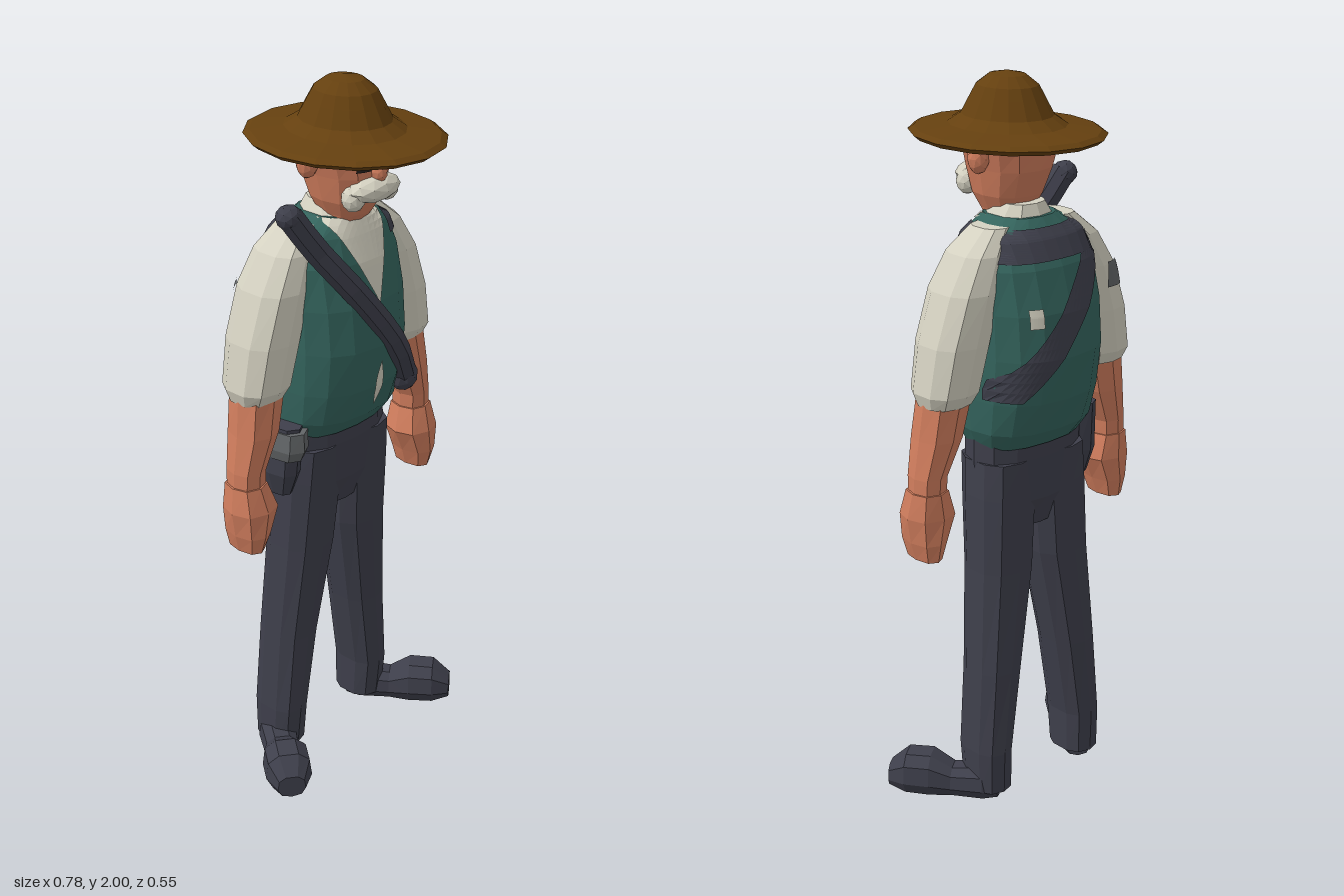
import * as THREE from 'three';

const mat = (name, color) => {
  const m = new THREE.MeshStandardMaterial({ color });
  m.name = name;
  return m;
};

const P = 2.5; // roundness of every cross-section (2 = ellipse, more = squarer)

// Faceted normals
const flat = (g) => {
  const f = g.index ? g.toNonIndexed() : g;
  f.computeVertexNormals();
  return f;
};

// Closed body through horizontal sections [y, cx, cz, rx, rz], bottom to top
function loft(sections, n = 10) {
  const pos = [], idx = [];
  const pw = (v) => Math.sign(v) * Math.abs(v) ** (2 / P);
  for (const [y, cx, cz, rx, rz] of sections) {
    for (let i = 0; i < n; i++) {
      const a = (i / n) * Math.PI * 2;
      pos.push(cx + rx * pw(Math.sin(a)), y, cz + rz * pw(Math.cos(a)));
    }
  }
  const last = sections.length - 1;
  for (const s of [sections[0], sections[last]]) pos.push(s[1], s[0], s[2]);
  const bottom = n * (last + 1), top = bottom + 1;
  for (let i = 0; i < n; i++) {
    const j = (i + 1) % n;
    for (let k = 0; k < last; k++) {
      const a = k * n + i, b = k * n + j;
      idx.push(a, b, b + n, a, b + n, a + n);
    }
    idx.push(bottom, j, i, top, last * n + i, last * n + j);
  }
  const g = new THREE.BufferGeometry();
  g.setAttribute('position', new THREE.Float32BufferAttribute(pos, 3));
  g.setIndex(idx);
  return flat(g);
}

// Thin skin on the front (side 1) or back (side -1) of a lofted body
function patch(sections, y0, y1, left, right, side, lift = 0.007) {
  const rows = 14, cols = 8, pos = [], idx = [];
  for (let r = 0; r <= rows; r++) {
    const y = y0 + ((y1 - y0) * r) / rows;
    let k = 0;
    while (k < sections.length - 2 && y > sections[k + 1][0]) k++;
    const t = (y - sections[k][0]) / (sections[k + 1][0] - sections[k][0]);
    const [, cx, cz, rx, rz] = sections[k].map((v, i) => v + (sections[k + 1][i] - v) * t);
    for (let c = 0; c <= cols; c++) {
      const u = left(y) + ((right(y) - left(y)) * c) / cols;
      const x = THREE.MathUtils.clamp((u - cx) / rx, -0.99, 0.99);
      pos.push(cx + x * rx, y, cz + side * (rz * (1 - Math.abs(x) ** P) ** (1 / P) + lift));
    }
  }
  for (let r = 0; r < rows; r++) for (let c = 0; c < cols; c++) {
    const a = r * (cols + 1) + c, b = a + 1, d = a + cols + 1, e = d + 1;
    if (side > 0) idx.push(a, b, e, a, e, d);
    else idx.push(a, e, b, a, d, e);
  }
  const g = new THREE.BufferGeometry();
  g.setAttribute('position', new THREE.Float32BufferAttribute(pos, 3));
  g.setIndex(idx);
  return flat(g);
}

const blob = (x, y, z, sx, sy, sz) =>
  flat(new THREE.IcosahedronGeometry(1, 1).scale(sx, sy, sz).translate(x, y, z));

export function createModel() {
  const root = new THREE.Group();
  root.name = 'farmer';
  const skin = mat('skin', 0xd07d5d), shirt = mat('shirt', 0xd4d1c1), vest = mat('vest', 0x34645d);
  const cloth = mat('darkCloth', 0x3e3f4b), hatBrown = mat('hatBrown', 0x65400f);
  const grey = mat('grey', 0x626567), eyeDark = mat('eyeDark', 0x25211f);
  const add = (name, geometry, material) => {
    const m = new THREE.Mesh(geometry, material);
    m.name = name;
    root.add(m);
    return m;
  };
  const konst = (v) => () => v;

  // Vest body
  const torso = [
    [1.04, 0, -0.06, 0.165, 0.105], [1.09, 0, -0.06, 0.185, 0.145], [1.18, 0, -0.06, 0.19, 0.175],
    [1.30, 0, -0.062, 0.19, 0.192], [1.42, 0, -0.062, 0.19, 0.18], [1.53, 0, -0.06, 0.187, 0.148],
    [1.60, 0, -0.055, 0.165, 0.115], [1.645, 0, -0.045, 0.09, 0.085],
  ];
  add('vest', loft(torso, 16), vest);
  add('collar', loft([[1.59, 0, -0.045, 0.1, 0.095], [1.64, 0, -0.04, 0.085, 0.085],
    [1.675, 0, -0.05, 0.06, 0.06]], 10), shirt);

  // Shirt showing through the vest
  const vee = (y) => (y - 1.42) * 0.44;
  add('shirtFront', patch(torso, 1.42, 1.645, (y) => -vee(y), vee, 1), shirt);
  const slit = (y) => 0.014 * Math.sin(((y - 1.12) / 0.14) * Math.PI);
  add('vestSlit', patch(torso, 1.12, 1.26, (y) => -slit(y), slit, 1), shirt);
  add('vestTear', patch(torso, 1.39, 1.44, konst(0.09), konst(0.125), -1), shirt);

  // Sash: thick roll across the chest, flat band over the back
  const path = new THREE.CatmullRomCurve3([
    [-0.235, 1.70, 0.03], [-0.17, 1.60, 0.055], [-0.06, 1.45, 0.108], [0.05, 1.30, 0.125], [0.155, 1.15, 0.075],
  ].map((p) => new THREE.Vector3(...p)));
  add('chestSash', flat(new THREE.TubeGeometry(path, 10, 0.034, 7)), cloth);
  add('sashTop', blob(-0.235, 1.695, 0.03, 0.035, 0.033, 0.035), cloth);
  add('sashEnd', blob(0.152, 1.15, 0.07, 0.04, 0.05, 0.045), cloth);
  const mid = (y) => -0.15 + (1.58 - y) * 0.86;
  add('backSash', patch(torso, 1.19, 1.59, (y) => mid(y) - 0.05, (y) => mid(y) + 0.05, -1), cloth);
  add('yoke', patch(torso, 1.55, 1.625, konst(-0.17), konst(0.17), -1, 0.009), cloth);
  add('shoulderStrap', patch(torso, 1.57, 1.625, konst(0.1), konst(0.17), 1, 0.009), cloth);

  // Trousers seat
  add('hips', loft([[0.80, 0, -0.065, 0.1, 0.07], [0.88, 0, -0.065, 0.165, 0.092],
    [1.0, 0, -0.06, 0.175, 0.1], [1.1, 0, -0.06, 0.172, 0.1]], 12), cloth);

  // Paired limbs: the model's left (+x), then its right
  for (const [side, s] of [['left', 1], ['right', -1]]) {
    const flip = (rows) => rows.map(([y, cx, ...rest]) => [y, cx * s, ...rest]);
    add(side + 'Leg', loft(flip([
      [0.04, 0.168, -0.1, 0.055, 0.07], [0.16, 0.168, -0.095, 0.056, 0.078],
      [0.40, 0.14, -0.09, 0.068, 0.08], [0.69, 0.103, -0.075, 0.086, 0.088],
      [0.90, 0.092, -0.065, 0.09, 0.096], [1.0, 0.09, -0.06, 0.085, 0.098],
    ])), cloth);

    // Shoe: built upright, laid down, then turned outward
    const shoe = loft([
      [0, 0, -0.045, 0.035, 0.035], [0.04, 0, -0.055, 0.055, 0.05], [0.13, 0, -0.05, 0.05, 0.045],
      [0.19, 0, -0.066, 0.066, 0.064], [0.26, 0, -0.066, 0.066, 0.062], [0.31, 0, -0.052, 0.04, 0.034],
    ], 9);
    shoe.rotateX(Math.PI / 2).rotateY(0.64 * s).translate(0.155 * s, 0, -0.135);
    add(side + 'Shoe', shoe, cloth);

    const sleeve = flip([
      [1.19, 0.275, -0.06, 0.068, 0.065], [1.225, 0.272, -0.06, 0.082, 0.085],
      [1.35, 0.245, -0.06, 0.087, 0.093], [1.48, 0.205, -0.06, 0.08, 0.093],
      [1.57, 0.162, -0.06, 0.066, 0.08], [1.63, 0.11, -0.06, 0.045, 0.055],
    ]);
    add(side + 'Sleeve', loft(sleeve), shirt);
    if (s < 0) add('sleevePatch', patch(sleeve, 1.42, 1.49, konst(-0.27), konst(-0.215), -1), grey);

    add(side + 'Forearm', loft(flip([
      [0.95, 0.328, -0.05, 0.045, 0.05], [1.0, 0.326, -0.05, 0.045, 0.052],
      [1.1, 0.295, -0.052, 0.06, 0.065], [1.22, 0.272, -0.058, 0.068, 0.066],
    ]), 8), skin);
    add(side + 'Hand', loft(flip([
      [0.77, 0.335, -0.045, 0.032, 0.055], [0.82, 0.333, -0.042, 0.047, 0.066],
      [0.89, 0.322, -0.042, 0.068, 0.068], [0.96, 0.328, -0.05, 0.05, 0.055],
    ]), 8), skin);
    add(side + 'Ear', blob(0.118 * s, 1.795, -0.02, 0.027, 0.042, 0.03), skin);
  }

  // Pouch on the right hip
  add('pouch', loft([[0.88, -0.195, -0.06, 0.025, 0.04], [0.95, -0.2, -0.055, 0.04, 0.065],
    [1.09, -0.195, -0.055, 0.04, 0.075]], 8), cloth);
  add('pouchFlap', loft([[1.0, -0.2, -0.04, 0.04, 0.066], [1.03, -0.2, -0.04, 0.047, 0.08],
    [1.08, -0.195, -0.04, 0.043, 0.075]], 8), grey);

  // Head
  const head = [
    [1.60, 0, -0.03, 0.055, 0.06], [1.65, 0, 0, 0.065, 0.068], [1.69, 0, 0, 0.085, 0.09],
    [1.76, 0, -0.005, 0.1, 0.115], [1.82, 0, -0.01, 0.117, 0.122], [1.85, 0, -0.01, 0.115, 0.12],
  ];
  add('head', loft(head, 12), skin);
  add('nose', blob(0, 1.775, 0.115, 0.02, 0.03, 0.025), skin);
  add('moustache', blob(0, 1.728, 0.098, 0.084, 0.036, 0.05), shirt);
  for (const s of [1, -1]) {
    add('moustacheTip', blob(0.062 * s, 1.71, 0.085, 0.03, 0.035, 0.032), shirt);
    add('eye', patch(head, 1.78, 1.798, konst(0.046 * s - 0.02), konst(0.046 * s + 0.02), 1, 0.004), eyeDark);
  }

  // Wide hat
  const profile = [[0, 1.835], [0.13, 1.832], [0.225, 1.832], [0.24, 1.845], [0.225, 1.855], [0.145, 1.867],
    [0.112, 1.89], [0.09, 1.935], [0.075, 1.965], [0.045, 1.99], [0, 2]].map((p) => new THREE.Vector2(...p));
  add('hat', flat(new THREE.LatheGeometry(profile, 16).scale(1, 1, 1.15)), hatBrown);
  return root;
}
